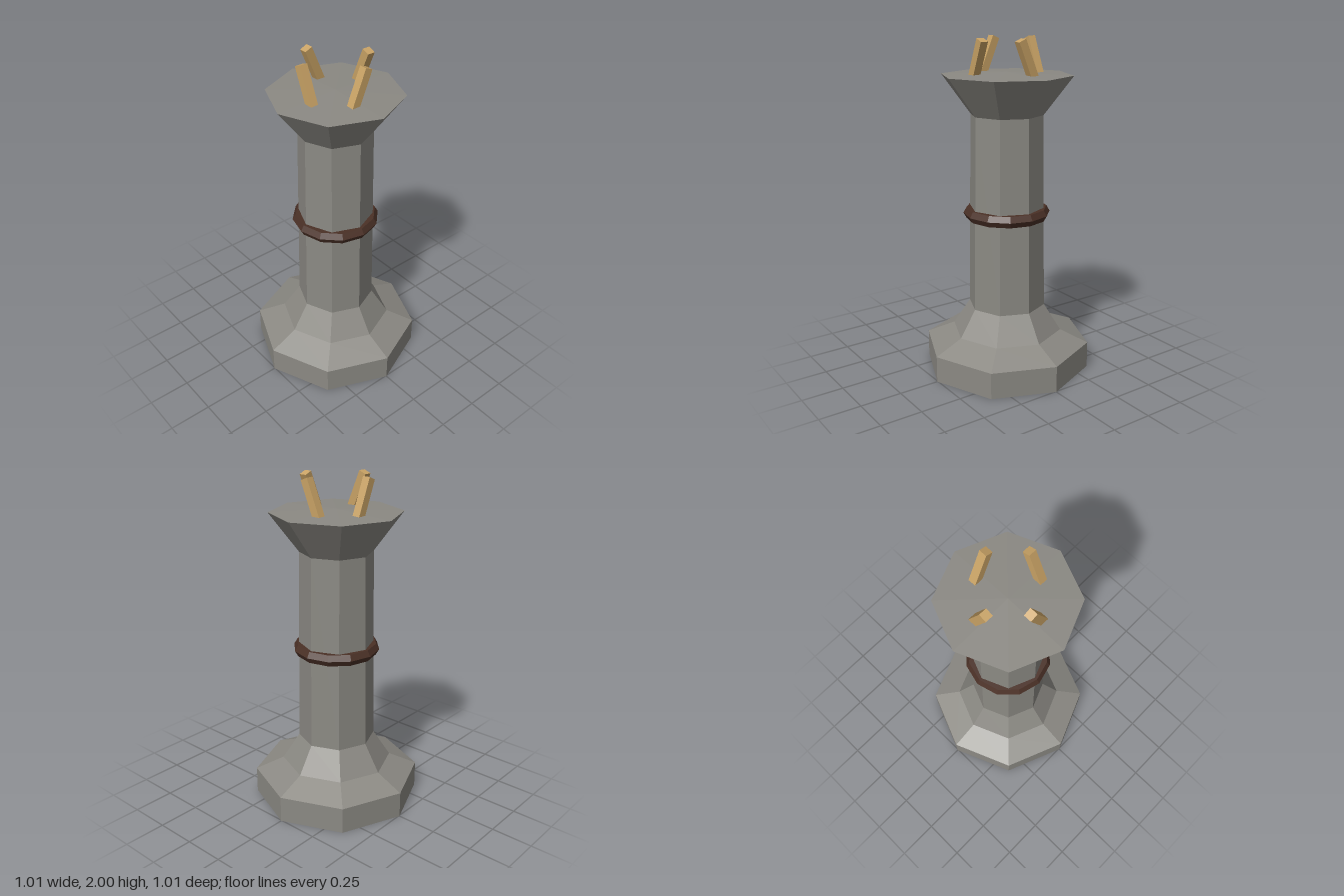
import * as THREE from 'three';

export function createModel() {
  const model = new THREE.Group();
  const mat = (name, color) => {
    const m = new THREE.MeshStandardMaterial({ color, flatShading: true });
    m.name = name;
    return m;
  };
  const stone = mat('grey stone', 0x8b8983);
  const band = mat('dark brown band', 0x4a3026);
  const wood = mat('light wood', 0xc8a265);

  const add = (name, geometry, material, parent = model) => {
    const mesh = new THREE.Mesh(geometry, material);
    mesh.name = name;
    parent.add(mesh);
    return mesh;
  };

  // Octagonal pillar: plinth, flared foot, tapering shaft, bowl-shaped head
  const profile = [
    [0, 0], [0.505, 0], [0.505, 0.16], [0.335, 0.235], [0.232, 0.395],
    [0.215, 1.56], [0.387, 1.788], [0, 1.804],
  ].map(([r, y]) => new THREE.Vector2(r, y));
  add('pillar', new THREE.LatheGeometry(profile, 8), stone);

  // Hexagonal-section ring around the shaft
  const ring = add('ring', new THREE.TorusGeometry(0.22, 0.039, 6, 12), band);
  ring.rotation.x = Math.PI / 2;
  ring.position.y = 0.975;

  // Four leaning sticks on top, neighbours leaning opposite ways
  const stickGeometry = new THREE.BoxGeometry(0.048, 0.24, 0.047);
  ['front', 'left', 'back', 'right'].forEach((side, i) => {
    const lean = i % 2 ? -1 : 1;
    const pivot = new THREE.Group();
    pivot.name = side + 'StickPivot';
    pivot.rotation.y = i * Math.PI / 2;
    const stick = add(side + 'Stick', stickGeometry, wood, pivot);
    stick.position.set(0.002 * lean, 1.88, 0.194);
    stick.rotation.z = 0.4 * lean;
    model.add(pivot);
  });

  return model;
}
